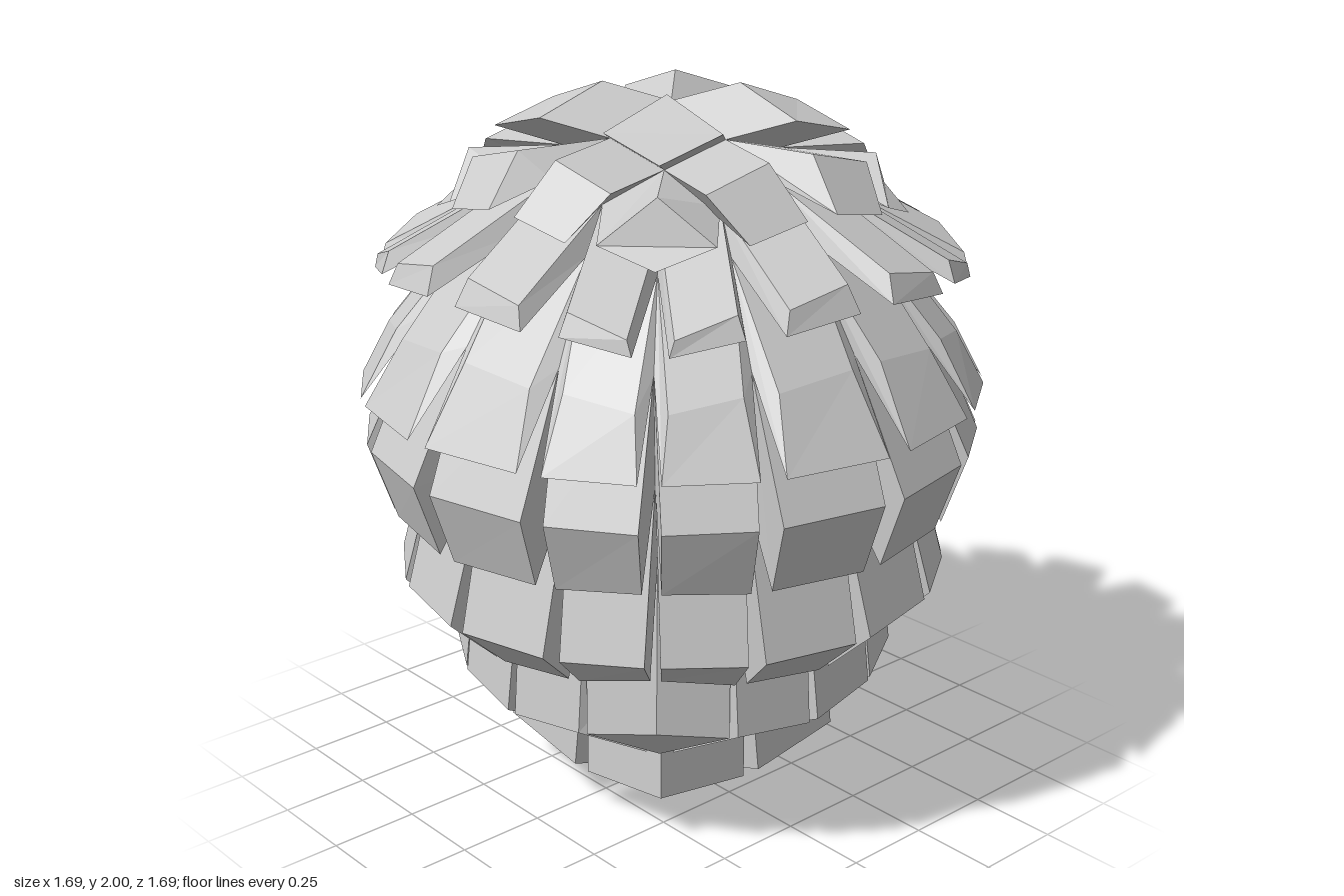
import * as THREE from 'three';

// Inner body, top to bottom: radius, height, corner widening, corner height shift
const LEVELS = [
  [0, 1.95, 0, 0],
  [0.21, 1.88, 0.37, -0.05],
  [0.40, 1.80, 0.15, -0.08],
  [0.50, 1.68, 0.08, -0.05],
  [0.68, 1.42, 0, 0],
  [0.63, 1.10, 0.02, 0.02],
  [0.53, 0.82, 0.08, 0.06],
  [0.31, 0.56, 0.37, 0.04],
  [0, 0.50, 0, 0],
];

// Scale rows: outward and vertical push of the upper edge, then of the lower edge
const PUSH = [
  [0.18, 0.05, 0.18, 0.05],
  [0.25, -0.01, 0.17, -0.06],
  [0.33, -0.18, 0.26, -0.13],
  [0.23, -0.28, 0.17, -0.22],
  [0.16, -0.35, 0.14, -0.23],
  [0.12, -0.44, 0.08, -0.29],
  [0.05, -0.46, 0.08, -0.30],
  [0.04, -0.46, 0.04, -0.50],
];

const NAMES = ['crownScales', 'upperCapScales', 'shoulderScales', 'upperSideScales',
  'middleScales', 'lowerSideScales', 'lowerCapScales', 'baseScales'];
const COLUMNS = [0, 25, 45, 65, 90];

// Point on the inner body; turn is the quarter it belongs to
function bodyPoint(level, angle, turn) {
  const [r, y, widen, shift] = LEVELS[level];
  const corner = (1 - Math.abs(angle - 45) / 45) ** 1.5;
  const a = THREE.MathUtils.degToRad(angle + 90 * turn);
  const radius = r * (1 + widen * corner);
  return new THREE.Vector3(radius * Math.cos(a), y + shift * corner, radius * Math.sin(a));
}

function pushQuad(out, a, b, c, d) {
  for (const p of [a, b, c, a, c, d]) out.push(p.x, p.y, p.z);
}

// One scale: four body points pushed out to a cap, joined by four walls
function addScale(out, row, corners, turn) {
  let base = corners.map(([level, angle]) => {
    const p = bodyPoint(level, angle, turn);
    p.level = level;
    return p;
  });
  const centre = base.reduce((s, p) => s.add(p), new THREE.Vector3()).multiplyScalar(0.25);
  const dir = new THREE.Vector3(centre.x, 0, centre.z).normalize();
  const [rTop, yTop, rLow, yLow] = PUSH[row];
  const normal = base[2].clone().sub(base[0]).cross(base[3].clone().sub(base[1]));
  if (normal.dot(centre.clone().sub(new THREE.Vector3(0, 1.2, 0))) < 0) base = base.reverse();
  const cap = base.map((p) => {
    const upper = p.level === row;
    const q = p.clone().addScaledVector(dir, upper ? rTop : rLow);
    q.y += upper ? yTop : yLow;
    return q;
  });
  pushQuad(out, ...cap);
  for (let i = 0; i < 4; i++) {
    const j = (i + 1) % 4;
    pushQuad(out, base[i], base[j], cap[j], cap[i]);
  }
}

// Corners of the scales in one quarter of a row
function quarterScales(row) {
  if (row === 0 || row === 7) {
    const pole = row === 0 ? 0 : 8, ring = row === 0 ? 1 : 7;
    return [[[pole, 0], [ring, 0], [ring, 45], [ring, 90]]];
  }
  if (row === 1 || row === 6) {
    const inner = row === 1 ? 1 : 7, outer = row === 1 ? 2 : 6;
    return [
      [[inner, 0], [outer, 0], [outer, 25], [inner, 45]],
      [[inner, 45], [outer, 25], [outer, 45], [outer, 65]],
      [[inner, 45], [outer, 65], [outer, 90], [inner, 90]],
    ];
  }
  return COLUMNS.slice(0, 4).map((a, i) => {
    const b = COLUMNS[i + 1];
    return [[row, a], [row, b], [row + 1, b], [row + 1, a]];
  });
}

export function createModel() {
  const group = new THREE.Group();
  group.name = 'scalyCone';
  const material = new THREE.MeshStandardMaterial({ color: 0xcccccc, flatShading: true });
  NAMES.forEach((name, row) => {
    const out = [];
    for (let turn = 0; turn < 4; turn++) {
      for (const corners of quarterScales(row)) addScale(out, row, corners, turn);
    }
    const geometry = new THREE.BufferGeometry();
    geometry.setAttribute('position', new THREE.Float32BufferAttribute(out, 3));
    geometry.computeVertexNormals();
    const mesh = new THREE.Mesh(geometry, material);
    mesh.name = name;
    group.add(mesh);
  });
  return group;
}
